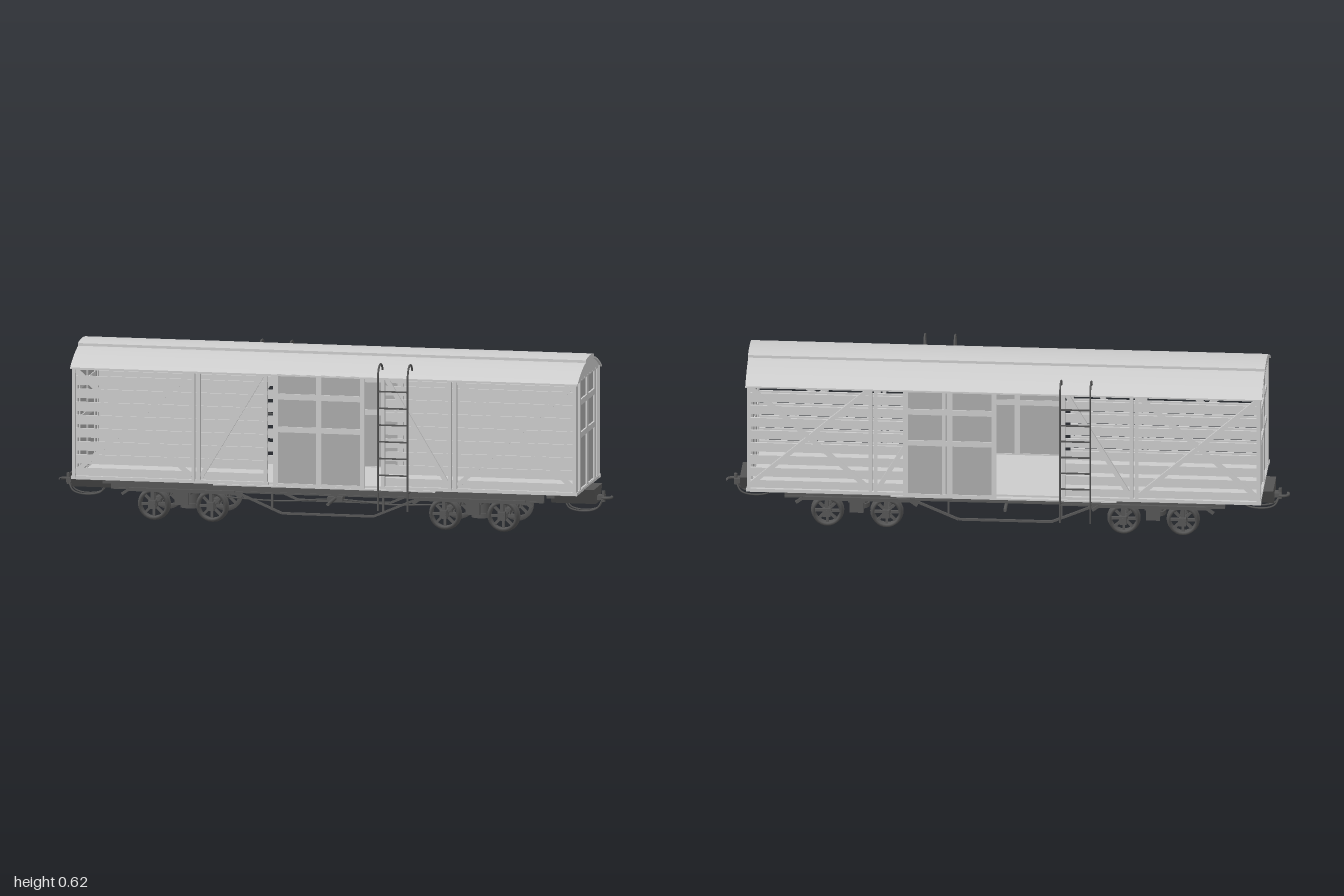
import * as THREE from 'three';

const grey = new THREE.MeshStandardMaterial({ color: 0xcccccc });
const panelGrey = new THREE.MeshStandardMaterial({ color: 0xaaaaaa });
const dark = new THREE.MeshStandardMaterial({ color: 0x555555 });

function add(parent, name, geo, mat, x = 0, y = 0, z = 0) {
  const m = new THREE.Mesh(geo, mat);
  m.name = name;
  m.position.set(x, y, z);
  parent.add(m);
  return m;
}
const box = (p, name, w, h, d, x, y, z, mat = grey) => add(p, name, new THREE.BoxGeometry(w, h, d), mat, x, y, z);
const group = (parent, name) => {
  const g = new THREE.Group();
  g.name = name;
  parent.add(g);
  return g;
};
// cylinder lying along z
const discZ = (p, name, r, len, x, y, z, mat = dark, n = 20) =>
  add(p, name, new THREE.CylinderGeometry(r, r, len, n).rotateX(Math.PI / 2), mat, x, y, z);
// flat bar between two points of a plane facing z
function bar(p, name, x1, y1, x2, y2, z, w, d, mat = grey) {
  const m = box(p, name, Math.hypot(x2 - x1, y2 - y1), w, d, (x1 + x2) / 2, (y1 + y2) / 2, z, mat);
  m.rotation.z = Math.atan2(y2 - y1, x2 - x1);
  return m;
}
function tube(p, name, pts, r, mat = dark, seg = 24) {
  const c = new THREE.CatmullRomCurve3(pts.map(a => new THREE.Vector3(...a)));
  return add(p, name, new THREE.TubeGeometry(c, seg, r, 6), mat);
}
function rectPath(P, x1, y1, x2, y2) {
  const s = new P();
  s.moveTo(x1, y1); s.lineTo(x2, y1); s.lineTo(x2, y2); s.lineTo(x1, y2); s.closePath();
  return s;
}

// framed panel wall facing +z: columns are [x1, x2] pairs, rows [y1, y2]
function panelWall(name, half, y1, y2, cells, depth) {
  const g = new THREE.Group();
  g.name = name;
  const s = rectPath(THREE.Shape, -half, y1, half, y2);
  for (const c of cells) s.holes.push(rectPath(THREE.Path, ...c));
  add(g, 'frame', new THREE.ExtrudeGeometry(s, { depth, bevelEnabled: false }), grey);
  box(g, 'panels', half * 2 - 0.004, y2 - y1 - 0.004, 0.004, 0, (y1 + y2) / 2, depth * 0.4, panelGrey);
  return g;
}
const rows = [[0.162, 0.345], [0.365, 0.462], [0.483, 0.548]];

// roof: arched shell, gable filling and raised centre strip
const arcY = z => 0.613 - 0.409 + Math.sqrt(0.409 ** 2 - z * z);
function arcShape(half, lift, bottom) {
  const s = new THREE.Shape();
  for (let i = 0; i <= 24; i++) {
    const z = -half + (2 * half * i) / 24;
    if (i) s.lineTo(z, arcY(z) + lift); else s.moveTo(z, arcY(z) + lift);
  }
  for (let i = 24; i >= 0; i--) {
    const z = -half + (2 * half * i) / 24;
    s.lineTo(z, bottom(z));
  }
  return s;
}
const alongX = (shape, len) =>
  new THREE.ExtrudeGeometry(shape, { depth: len, bevelEnabled: false }).translate(0, 0, -len / 2).rotateY(Math.PI / 2);

function buildRoof(root) {
  const roof = group(root, 'roof');
  add(roof, 'roofShell', alongX(arcShape(0.215, 0, z => arcY(z) - 0.006), 1.83), grey);
  add(roof, 'roofFilling', alongX(arcShape(0.2, -0.003, () => 0.55), 1.815), grey);
  add(roof, 'roofStrip', alongX(arcShape(0.074, 0.0095, z => arcY(z) - 0.004), 1.832), grey);
}

// one half of a slatted side, from the doorway to the +x end on +z
function slattedBay() {
  const g = new THREE.Group();
  g.name = 'slattedBay';
  for (let i = 0; i < 8; i++) box(g, 'slat', 0.7, 0.033, 0.008, 0.557, 0.175 + i * 0.047, 0.194);
  for (const x of [0.212, 0.453, 0.472, 0.903]) box(g, 'post', 0.012, 0.395, 0.016, x, 0.355, 0.206);
  bar(g, 'brace', 0.48, 0.175, 0.9, 0.545, 0.203, 0.016, 0.01);
  bar(g, 'brace', 0.48, 0.545, 0.9, 0.175, 0.202, 0.016, 0.01);
  bar(g, 'brace', 0.445, 0.175, 0.225, 0.545, 0.202, 0.016, 0.01);
  box(g, 'bottomRail', 0.71, 0.012, 0.02, 0.557, 0.157, 0.2);
  return g;
}

// ladder with hooked rails on +z
function ladder() {
  const g = new THREE.Group();
  g.name = 'ladder';
  for (const x of [0.203, 0.31]) {
    const pts = [[x, 0.082, 0.254], [x, 0.2, 0.254], [x, 0.38, 0.254], [x, 0.52, 0.254]];
    for (let i = 0; i <= 8; i++) {
      const a = (i / 8) * Math.PI * 0.9;
      pts.push([x, 0.558 + 0.043 * Math.sin(a), 0.211 + 0.043 * Math.cos(a)]);
    }
    tube(g, 'ladderRail', pts, 0.0035, dark, 48);
    box(g, 'ladderBracket', 0.006, 0.005, 0.11, x, 0.147, 0.2, dark);
  }
  for (let i = 0; i < 7; i++) box(g, 'rung', 0.107, 0.005, 0.005, 0.2565, 0.15 + i * 0.06, 0.254, dark);
  return g;
}

// spoked wheel, outside facing +z
function wheel() {
  const g = new THREE.Group();
  g.name = 'wheel';
  const rim = [[0.044, -0.014], [0.059, -0.014], [0.059, -0.007], [0.053, -0.006], [0.053, 0.016], [0.044, 0.016], [0.044, -0.014]];
  add(g, 'rim', new THREE.LatheGeometry(rim.map(p => new THREE.Vector2(...p)), 28).rotateX(Math.PI / 2), dark);
  for (let i = 0; i < 8; i++) {
    const a = (i * Math.PI) / 4;
    bar(g, 'spoke', 0, 0, 0.047 * Math.cos(a), 0.047 * Math.sin(a), 0, 0.009, 0.01, dark);
  }
  discZ(g, 'hub', 0.016, 0.034, 0, 0, 0.002);
  return g;
}

function bogie() {
  const g = new THREE.Group();
  g.name = 'bogie';
  for (const x of [-0.105, 0.105]) {
    discZ(g, 'axle', 0.011, 0.34, x, 0.062, 0);
    for (const z of [-0.073, 0, 0.073]) discZ(g, 'axleCollar', 0.015, 0.026, x, 0.062, z);
    for (const s of [1, -1]) {
      const w = wheel();
      w.position.set(x, 0.059, 0.131 * s);
      if (s < 0) w.rotation.y = Math.PI;
      g.add(w);
      box(g, 'axleBox', 0.026, 0.03, 0.018, x, 0.062, 0.16 * s, dark);
      box(g, 'hornGuide', 0.012, 0.06, 0.008, x, 0.085, 0.155 * s, dark);
    }
  }
  for (const s of [1, -1]) {
    box(g, 'sideFrame', 0.38, 0.012, 0.012, 0, 0.113, 0.156 * s, dark);
    for (const e of [1, -1]) bar(g, 'frameEnd', 0.19 * e, 0.113, 0.215 * e, 0.095, 0.156 * s, 0.01, 0.01, dark);
    box(g, 'springBlock', 0.05, 0.05, 0.016, 0, 0.088, 0.152 * s, dark);
  }
  box(g, 'bolster', 0.06, 0.022, 0.3, 0, 0.108, 0, dark);
  add(g, 'pivot', new THREE.CylinderGeometry(0.03, 0.03, 0.1, 20), dark, 0, 0.09, 0);
  add(g, 'pivotFoot', new THREE.CylinderGeometry(0.036, 0.036, 0.016, 20), dark, 0, 0.038, 0);
  return g;
}

// tapered end beam and coupling at +x
function couplingEnd() {
  const g = new THREE.Group();
  g.name = 'couplingEnd';
  const s = new THREE.Shape();
  s.moveTo(-0.075, 0.152); s.lineTo(-0.04, 0.096); s.lineTo(0.04, 0.096); s.lineTo(0.075, 0.152); s.closePath();
  add(g, 'endBeam', alongX(s, 0.16), dark, 0.865);
  box(g, 'drawbar', 0.03, 0.016, 0.034, 0.955, 0.115, 0, dark);
  add(g, 'couplingPin', new THREE.CylinderGeometry(0.006, 0.006, 0.04, 10), dark, 0.965, 0.118, 0);
  const hook = add(g, 'couplingHook', new THREE.TorusGeometry(0.019, 0.005, 8, 20, Math.PI * 1.45).rotateX(Math.PI / 2), dark, 0.976, 0.115, 0);
  hook.rotation.y = 0.7;
  for (const z of [-0.016, 0.016])
    tube(g, 'brakeHose', [[0.83, 0.1, z], [0.845, 0.076, z], [0.9, 0.066, z], [0.945, 0.078, z], [0.962, 0.108, z / 2]], 0.003);
  return g;
}

function buildUnderframe(root) {
  const g = group(root, 'underframe');
  box(g, 'floorUnderside', 1.8, 0.004, 0.38, 0, 0.148, 0, dark);
  box(g, 'centreBeam', 1.6, 0.02, 0.05, 0, 0.137, 0, dark);
  for (const x of [-0.8, -0.525, -0.2, 0.2, 0.525, 0.8]) box(g, 'crossBeam', 0.03, 0.02, 0.262, x, 0.136, 0, dark);
  for (const z of [-0.145, 0.145]) {
    box(g, 'soleBar', 1.56, 0.034, 0.01, 0, 0.131, z, dark);
    box(g, 'soleBarFlange', 1.56, 0.006, 0.02, 0, 0.115, z, dark);
    bar(g, 'trussRod', -0.165, 0.043, 0.165, 0.043, z, 0.008, 0.008, dark);
    for (const e of [1, -1]) {
      bar(g, 'trussRod', 0.165 * e, 0.043, 0.33 * e, 0.113, z, 0.008, 0.008, dark);
      box(g, 'trussPost', 0.007, 0.06, 0.007, 0.2 * e, 0.088, z, dark);
    }
  }
  tube(g, 'brakePipe', [[-0.4, 0.07, 0], [-0.2, 0.062, 0], [0, 0.075, 0], [0.2, 0.062, 0], [0.4, 0.07, 0]], 0.003);
  discZ(g, 'brakeShaft', 0.006, 0.29, 0, 0.08, 0);
  box(g, 'brakeLever', 0.055, 0.016, 0.04, 0, 0.078, 0, dark);
  box(g, 'brakeHanger', 0.008, 0.05, 0.04, 0, 0.11, 0, dark);
  for (const x of [-0.525, 0.525]) {
    const b = bogie();
    b.position.x = x;
    g.add(b);
  }
}

export function createModel() {
  const root = new THREE.Group();
  root.name = 'slattedWagon';
  box(root, 'floor', 1.82, 0.01, 0.39, 0, 0.155, 0);
  buildRoof(root);
  buildUnderframe(root);

  // slatted sides on all four quarters
  for (const turn of [0, Math.PI]) for (const mirror of [1, -1]) {
    const b = slattedBay();
    b.scale.x = mirror;
    b.rotation.y = turn;
    root.add(b);
  }

  // end walls, ladders and couplings repeat by a half turn
  const endCells = [];
  for (const s of [1, -1]) {
    for (const [a, b] of rows) endCells.push([s > 0 ? 0.01 : -0.122, a, s > 0 ? 0.122 : -0.01, b]);
    endCells.push([s > 0 ? 0.142 : -0.172, 0.162, s > 0 ? 0.172 : -0.142, 0.548]);
  }
  for (const turn of [0, Math.PI]) {
    const half = group(root, 'wagonEnd');
    const wall = panelWall('endWall', 0.19, 0.152, 0.553, endCells, 0.014);
    wall.rotation.y = Math.PI / 2;
    wall.position.x = 0.894;
    half.add(wall, ladder(), couplingEnd());
    half.rotation.y = turn;
  }

  // sliding doors: the front one nearly shut, the back one slid aside
  const doorCells = [];
  for (const [a, b] of rows) doorCells.push([-0.148, a, -0.01, b], [0.01, a, 0.148, b]);
  const front = panelWall('slidingDoor', 0.165, 0.152, 0.553, doorCells, 0.01);
  front.position.set(-0.018, 0, 0.204);
  const back = panelWall('slidingDoor', 0.165, 0.152, 0.553, doorCells, 0.01);
  back.rotation.y = Math.PI;
  back.position.set(0.19, 0, -0.207);
  root.add(front, back);
  for (const z of [-0.205, 0.205]) {
    box(root, 'doorTrack', 0.8, 0.006, 0.02, 0, 0.15, z);
    box(root, 'topRail', 1.81, 0.012, 0.012, 0, 0.549, z * 0.97);
  }
  return root;
}
